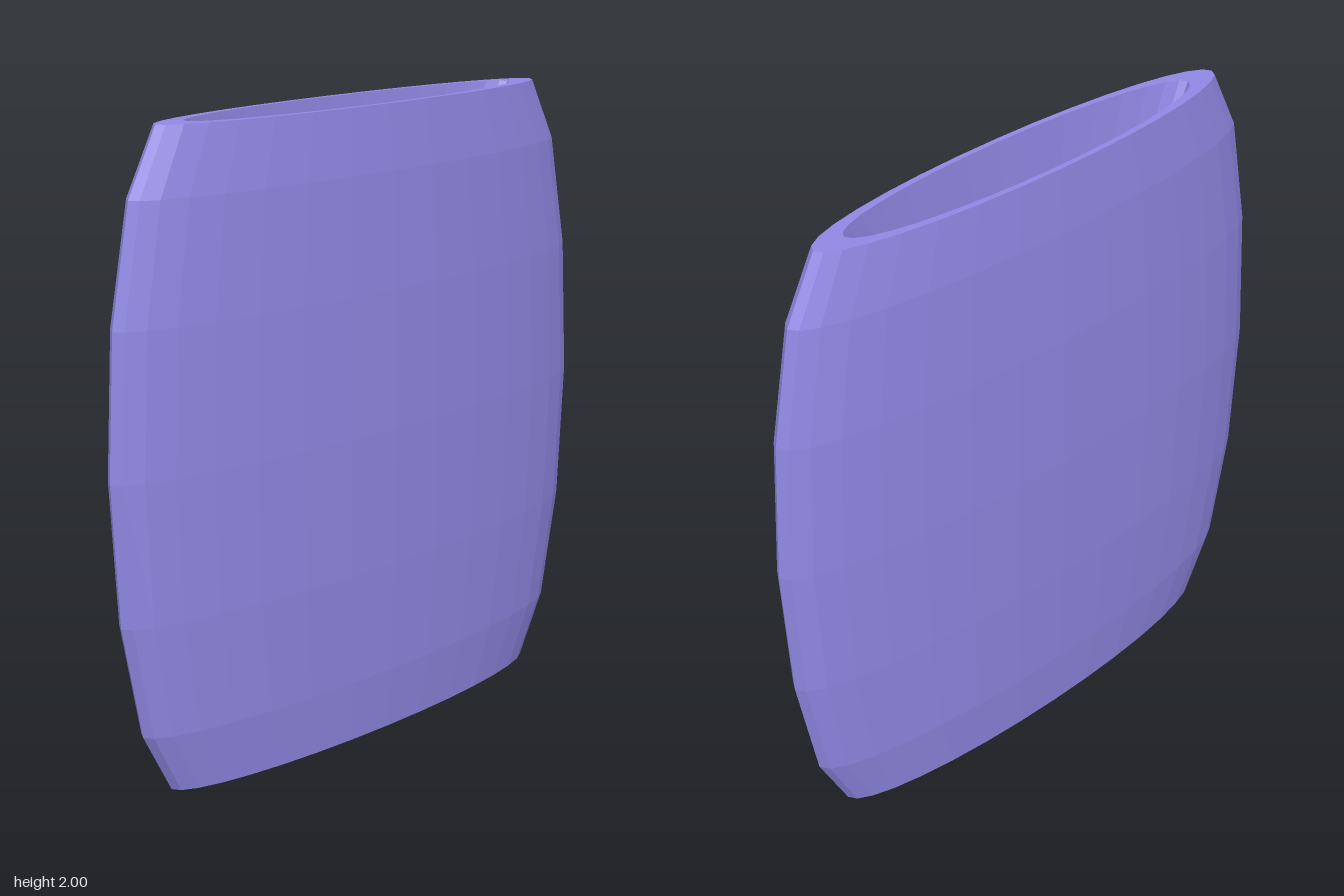
import * as THREE from 'three';

export function createModel() {
  const group = new THREE.Group();
  const material = new THREE.MeshStandardMaterial({ color: 0x9088e4, flatShading: true });

  // Closed wall section: barrel-shaped outside going up, inward-bulging bore going down
  const heights = [0, 0.2, 0.56, 1, 1.44, 1.8, 2];
  const outer = [0.8, 0.905, 0.975, 1, 0.975, 0.905, 0.8];
  const inner = [0.69, 0.6, 0.525, 0.5, 0.525, 0.6, 0.69];
  const last = heights.length - 1;
  const profile = [
    ...heights.map((y, i) => new THREE.Vector2(outer[i], y)),
    ...heights.map((_, i) => new THREE.Vector2(inner[last - i], heights[last - i])),
    new THREE.Vector2(outer[0], 0),
  ];

  // Revolve, then flatten front to back into an elliptical ring
  const geometry = new THREE.LatheGeometry(profile, 32);
  geometry.scale(1, 1, 0.166);
  geometry.computeVertexNormals();

  const bead = new THREE.Mesh(geometry, material);
  bead.name = 'flattenedBead';
  group.add(bead);
  return group;
}
